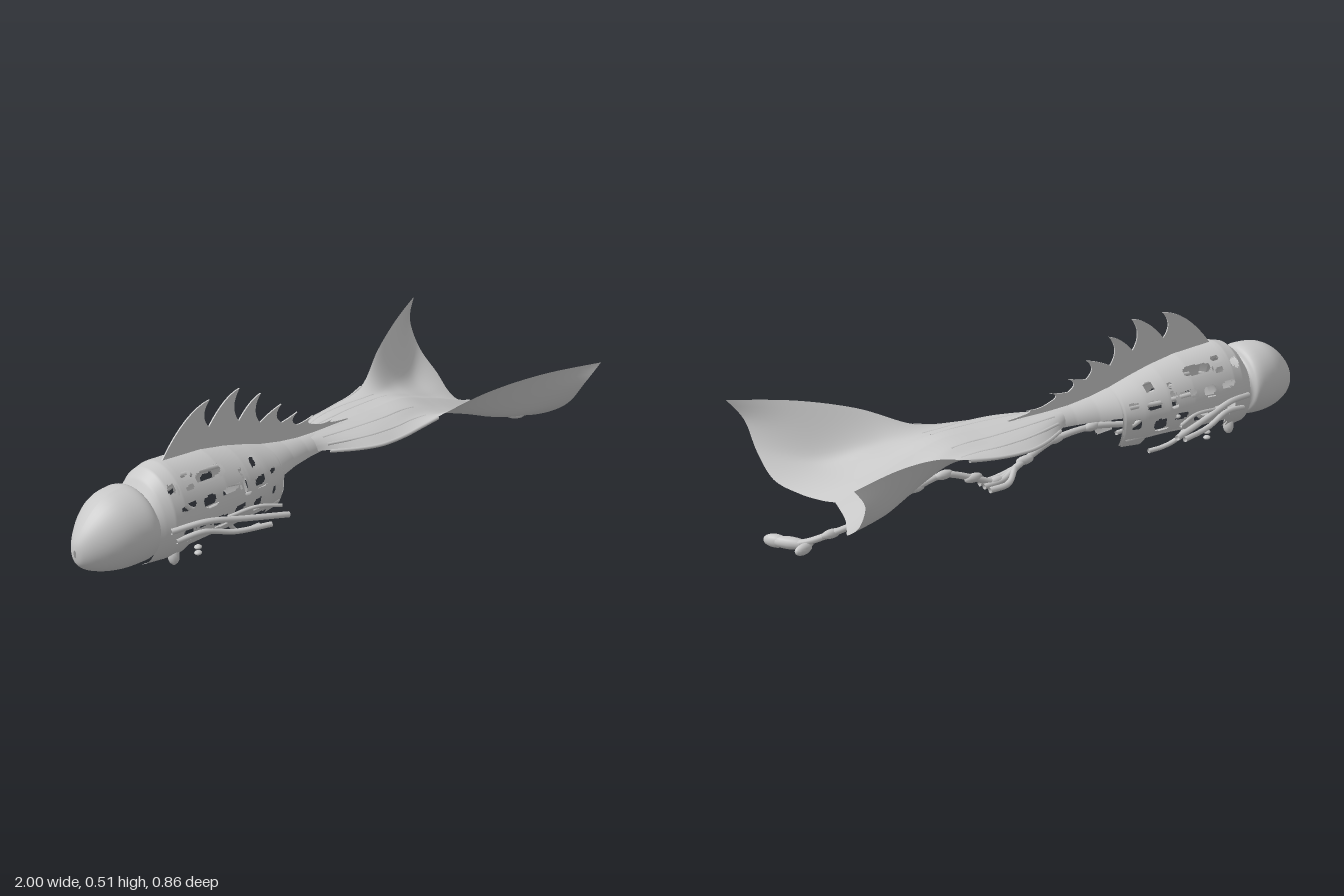
import * as THREE from 'three';

const grey = new THREE.MeshStandardMaterial({ color: 0xc8c8c8, side: THREE.DoubleSide });
grey.name = 'plain grey';

// Smooth interpolation through rows of numbers, t in 0..1
function spline(rows, t) {
  const n = rows.length - 1, f = Math.min(Math.max(t, 0), 1) * n;
  const i = Math.min(Math.floor(f), n - 1), s = f - i;
  const at = k => rows[Math.min(Math.max(k, 0), n)];
  const a = at(i - 1), b = at(i), c = at(i + 1), d = at(i + 2);
  return b.map((_, k) => 0.5 * (2 * b[k] + (c[k] - a[k]) * s
    + (2 * a[k] - 5 * b[k] + 4 * c[k] - d[k]) * s * s
    + (3 * b[k] - a[k] - 3 * c[k] + d[k]) * s * s * s));
}

// Straight interpolation by the first column
function keyed(rows, x) {
  let i = 0;
  while (i < rows.length - 2 && x > rows[i + 1][0]) i++;
  const s = (x - rows[i][0]) / (rows[i + 1][0] - rows[i][0]);
  return rows[i].map((v, k) => v + (rows[i + 1][k] - v) * s);
}

// Surface over a grid; keep() may leave cells open
function surface(fn, nu, nv, keep = () => true) {
  const pos = [], idx = [];
  for (let i = 0; i <= nu; i++) for (let j = 0; j <= nv; j++) pos.push(...fn(i / nu, j / nv));
  for (let i = 0; i < nu; i++) for (let j = 0; j < nv; j++) {
    if (!keep(fn((i + 0.5) / nu, (j + 0.5) / nv))) continue;
    const a = i * (nv + 1) + j, b = a + nv + 1;
    idx.push(a, a + 1, b, b, a + 1, b + 1);
  }
  const g = new THREE.BufferGeometry();
  g.setAttribute('position', new THREE.Float32BufferAttribute(pos, 3));
  g.setIndex(idx);
  g.computeVertexNormals();
  return g;
}

export function createModel() {
  const root = new THREE.Group();
  const add = (name, geometry, parent = root) => {
    const m = new THREE.Mesh(geometry, grey);
    m.name = name;
    parent.add(m);
    return m;
  };
  const tube = (name, pts, r, parent) => add(name, new THREE.TubeGeometry(
    new THREE.CatmullRomCurve3(pts.map(p => new THREE.Vector3(...p))), pts.length * 6, r, 8), parent);
  const blob = (name, p, s, turn = 0, parent) => {
    const m = add(name, new THREE.SphereGeometry(1, 12, 8), parent);
    m.position.set(...p);
    m.scale.set(...s);
    m.rotation.y = turn;
    return m;
  };

  // Egg-shaped head and collar: x, top, bottom, half width
  const headRows = [[-1, 0.19, 0.165, 0.006], [-0.992, 0.217, 0.138, 0.028], [-0.965, 0.258, 0.114, 0.058],
    [-0.92, 0.302, 0.096, 0.092], [-0.87, 0.328, 0.086, 0.116], [-0.81, 0.334, 0.085, 0.13],
    [-0.775, 0.325, 0.09, 0.128], [-0.758, 0.3, 0.108, 0.108], [-0.72, 0.295, 0.112, 0.1]];
  add('head', surface((u, v) => {
    const [x, top, low, w] = spline(headRows, u), a = v * Math.PI * 2;
    return [x, (top + low) / 2 + Math.cos(a) * (top - low) / 2, Math.sin(a) * w];
  }, 40, 36));

  // Hollow body shell: x, top, half width, arc limit in degrees
  const shellRows = [[-0.765, 0.295, 0.1, 165], [-0.74, 0.335, 0.115, 165], [-0.71, 0.36, 0.13, 160],
    [-0.67, 0.37, 0.136, 150], [-0.655, 0.37, 0.136, 122], [-0.5, 0.357, 0.14, 118], [-0.4, 0.337, 0.135, 116],
    [-0.32, 0.315, 0.124, 120], [-0.31, 0.312, 0.122, 136], [-0.24, 0.29, 0.104, 136],
    [-0.235, 0.289, 0.102, 82], [-0.16, 0.272, 0.075, 82], [-0.08, 0.26, 0.058, 82], [0, 0.255, 0.052, 80], [0.12, 0.253, 0.05, 75]];
  // Side openings: x, y, half width, half height
  const holes = [[-0.69, 0.315, 0.018, 0.015], [-0.625, 0.336, 0.022, 0.009], [-0.625, 0.303, 0.022, 0.011],
    [-0.54, 0.317, 0.06, 0.016], [-0.35, 0.29, 0.02, 0.016], [-0.42, 0.29, 0.014, 0.009],
    [-0.65, 0.255, 0.034, 0.014], [-0.57, 0.25, 0.03, 0.018], [-0.48, 0.255, 0.04, 0.014],
    [-0.42, 0.247, 0.014, 0.03], [-0.35, 0.238, 0.03, 0.017], [-0.28, 0.243, 0.022, 0.012],
    [-0.66, 0.172, 0.024, 0.024], [-0.6, 0.18, 0.025, 0.014], [-0.53, 0.17, 0.035, 0.02],
    [-0.45, 0.185, 0.03, 0.015], [-0.37, 0.17, 0.028, 0.022], [-0.285, 0.18, 0.02, 0.022]];
  const solid = ([x, y, z]) => Math.abs(z) < 0.05
    || !holes.some(([hx, hy, w, h]) => Math.abs((x - hx) / w) ** 3 + Math.abs((y - hy) / h) ** 3 < 1);
  // Wall of the shell between two x positions, moved inwards by inset
  const shellWall = (x0, x1, inset, nu) => surface((u, v) => {
    const x = x0 + (x1 - x0) * u, [, top, w, arc] = keyed(shellRows, x);
    const a = (v * 2 - 1) * THREE.MathUtils.degToRad(arc), c = Math.cos(a);
    return [x, 0.2 + c * (c > 0 ? top - 0.2 - inset : 0.14), Math.sin(a) * (w - inset)];
  }, nu, 130, solid);
  add('bodyShell', shellWall(-0.765, 0.12, 0, 240));
  add('bodyShellLining', shellWall(-0.7, -0.24, 0.016, 120));

  // Back crest: a thin plate with hooked spikes (tip, then valley behind it)
  const crest = new THREE.Shape();
  crest.moveTo(-0.68, 0.35);
  crest.lineTo(-0.65, 0.372);
  let from = [-0.65, 0.372];
  [[-0.455, 0.51, -0.46, 0.42], [-0.33, 0.51, -0.335, 0.4], [-0.24, 0.465, -0.245, 0.365], [-0.15, 0.4, -0.15, 0.335],
    [-0.08, 0.35, -0.08, 0.305], [-0.01, 0.315, -0.01, 0.285], [0.08, 0.275, 0.15, 0.255]].forEach(([tx, ty, vx, vy]) => {
    crest.quadraticCurveTo((from[0] + tx) / 2, ty - 0.01, tx, ty);
    crest.quadraticCurveTo(tx - 0.045, (ty + vy) / 2, vx, vy);
    from = [vx, vy];
  });
  crest.lineTo(0.15, 0.24);
  crest.lineTo(-0.24, 0.27);
  crest.lineTo(-0.5, 0.34);
  add('backCrest', new THREE.ExtrudeGeometry(crest, { depth: 0.005, bevelEnabled: false, curveSegments: 8 }).translate(0, 0, -0.0025));

  // Tail fin sheet: half cross-sections from the middle to the edge
  const sections = [
    [[-0.04, 0.257, 0], [-0.04, 0.25, 0.03], [-0.04, 0.235, 0.045], [-0.04, 0.215, 0.052]],
    [[0.12, 0.252, 0], [0.12, 0.247, 0.05], [0.12, 0.235, 0.1], [0.12, 0.212, 0.145]],
    [[0.25, 0.25, 0], [0.25, 0.245, 0.06], [0.25, 0.232, 0.115], [0.25, 0.215, 0.165]],
    [[0.4, 0.247, 0], [0.4, 0.238, 0.06], [0.4, 0.225, 0.115], [0.4, 0.237, 0.178]],
    [[0.53, 0.21, 0], [0.54, 0.192, 0.08], [0.56, 0.198, 0.175], [0.56, 0.3, 0.255]],
    [[0.66, 0.165, 0], [0.68, 0.139, 0.11], [0.73, 0.165, 0.25], [0.74, 0.337, 0.34]],
    [[0.78, 0.118, 0], [0.79, 0.098, 0.08], [0.825, 0.1, 0.16], [0.868, 0.125, 0.25],
      [0.877, 0.19, 0.345], [0.887, 0.28, 0.405], [0.935, 0.35, 0.432]]];
  const tailPoint = (u, w) => {
    const p = spline(sections.map(s => spline(s, Math.abs(w))), u);
    return [p[0], p[1], p[2] * Math.sign(w)];
  };
  add('tailFin', surface((u, v) => tailPoint(u, v * 2 - 1), 48, 60));

  // Raised strands running into the tail fin
  for (const w of [-1, -0.7, -0.35, 0.35, 0.7, 1]) {
    const pts = [];
    for (let i = 0; i <= 6; i++) {
      const p = tailPoint(0.05 + i * 0.075, w);
      pts.push([p[0], p[1] - 0.004, p[2]]);
    }
    tube('tailStrand', pts, 0.006);
  }

  // Arms, fingers and ragged ribs on both sides
  for (const side of [1, -1]) {
    const arm = new THREE.Group();
    arm.name = side > 0 ? 'frontArm' : 'backArm';
    root.add(arm);
    const limb = (name, pts, r) => tube(name, pts.map(([x, y, z]) => [x, y, z * side]), r, arm);
    limb('upperArm', [[-0.73, 0.2, 0.125], [-0.62, 0.21, 0.165], [-0.5, 0.19, 0.2], [-0.35, 0.165, 0.24]], 0.01);
    limb('lowerArm', [[-0.71, 0.16, 0.125], [-0.62, 0.17, 0.15], [-0.52, 0.145, 0.18], [-0.4, 0.14, 0.215]], 0.009);
    limb('finger', [[-0.55, 0.205, 0.18], [-0.45, 0.215, 0.205], [-0.37, 0.2, 0.23]], 0.006);
    limb('upperRib', [[-0.66, 0.215, 0.122], [-0.5, 0.22, 0.12], [-0.36, 0.205, 0.115], [-0.25, 0.205, 0.095]], 0.009);
    limb('lowerRib', [[-0.66, 0.14, 0.11], [-0.52, 0.135, 0.113], [-0.4, 0.14, 0.113], [-0.25, 0.125, 0.085]], 0.009);
    limb('hangingRib', [[-0.48, 0.13, 0.112], [-0.45, 0.095, 0.105], [-0.4, 0.077, 0.1], [-0.34, 0.071, 0.095]], 0.008);
    for (const y of [0.062, 0.082]) blob('fingerTip', [-0.59, y, 0.085 * side], [0.013, 0.007, 0.012], 0, arm);
    blob('shellFoot', [-0.685, 0.085, 0.08 * side], [0.018, 0.03, 0.02], 0, arm);
  }

  // Jointed trailing limb beneath the tail
  const path = [[-0.27, 0.165, -0.04], [-0.15, 0.18, -0.035], [0, 0.172, -0.045], [0.15, 0.152, -0.1], [0.28, 0.122, -0.135],
    [0.36, 0.15, -0.13], [0.46, 0.18, -0.12], [0.56, 0.157, -0.115], [0.66, 0.12, -0.11], [0.76, 0.084, -0.105],
    [0.84, 0.06, -0.085], [0.9, 0.038, -0.055], [0.93, 0.028, -0.03]];
  tube('trailingLimb', path, 0.011);
  path.slice(1, -2).forEach(p => blob('limbJoint', p, [0.035, 0.015, 0.015], 0.1));
  for (const z of [-0.175, -0.14, -0.11]) tube('middleToe', [[0.2, 0.142, -0.12], [0.26, 0.122, z], [0.33, 0.118, z - 0.005]], 0.01);

  // End foot with toes
  blob('endFoot', [0.945, 0.025, -0.005], [0.065, 0.02, 0.021], -0.85);
  blob('longToe', [0.972, 0.024, 0.033], [0.042, 0.022, 0.02], -0.9);
  blob('sideToe', [0.925, 0.02, -0.062], [0.034, 0.018, 0.016], 0.3);
  blob('shortToe', [0.905, 0.025, -0.04], [0.026, 0.016, 0.016]);
  return root;
}
